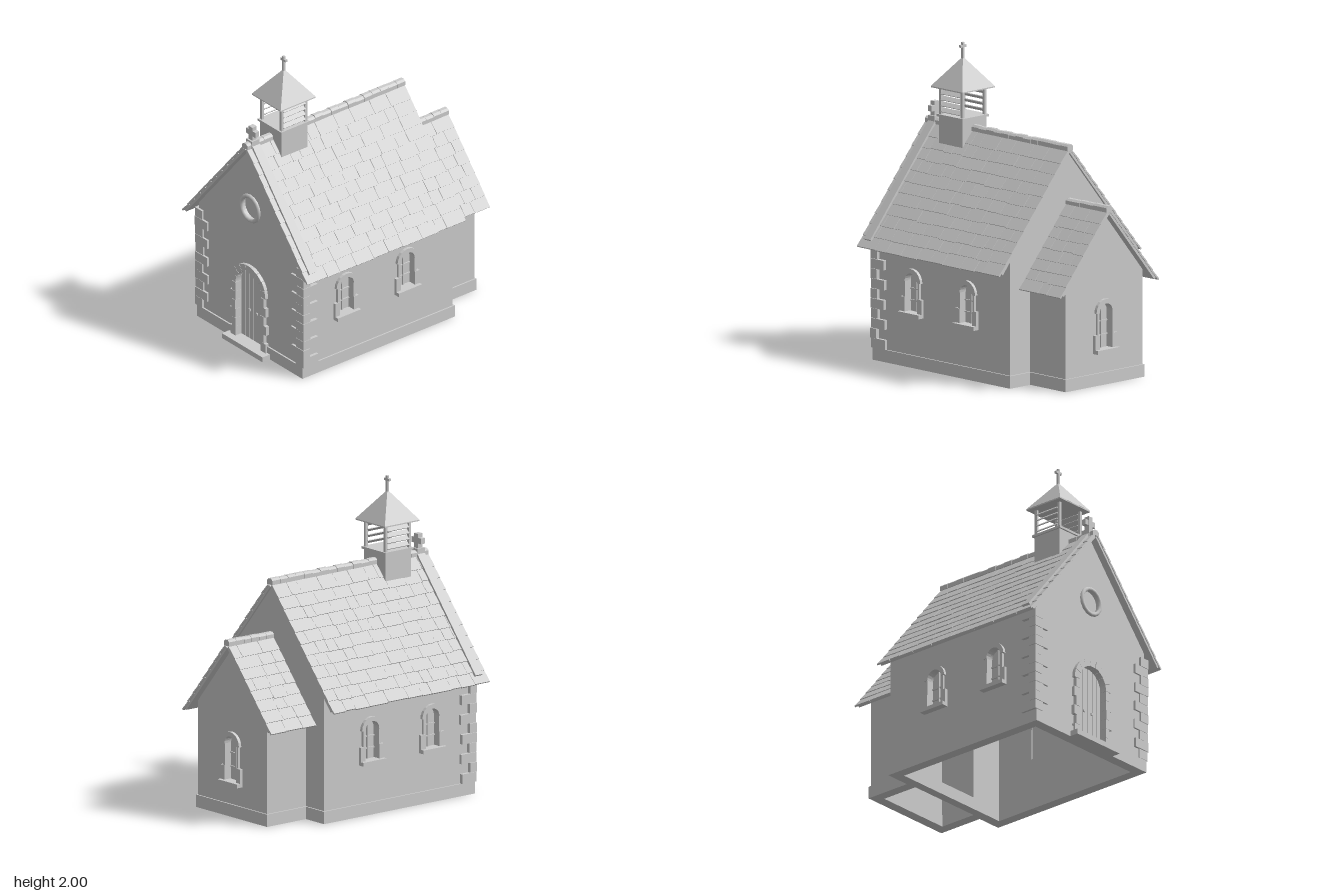
import * as THREE from 'three';
import { mergeGeometries } from 'three/addons/utils/BufferGeometryUtils.js';

const stone = new THREE.MeshStandardMaterial({ color: 0xcccccc });
stone.name = 'paleGrey';

let seed = 7;
const rnd = () => (seed = (seed * 16807) % 2147483647) / 2147483647;
const SLOPE = Math.atan(1.2), COS = Math.cos(SLOPE);

function add(parent, name, geo, x = 0, y = 0, z = 0) {
  const m = new THREE.Mesh(geo, stone);
  m.name = name;
  m.position.set(x, y, z);
  parent.add(m);
  return m;
}
// box given by its limits on each axis
function boxGeo(x0, x1, y0, y1, z0, z1) {
  return new THREE.BoxGeometry(x1 - x0, y1 - y0, z1 - z0)
    .translate((x0 + x1) / 2, (y0 + y1) / 2, (z0 + z1) / 2);
}
const box = (p, name, ...l) => add(p, name, boxGeo(...l));
const extrude = (shape, depth, curveSegments = 12) =>
  new THREE.ExtrudeGeometry(shape, { depth, bevelEnabled: false, curveSegments });
const poly = pts => new THREE.Shape(pts.map(p => new THREE.Vector2(...p)));
// upright opening with a round head
function arch(w, y0, yc, x = 0, T = THREE.Shape) {
  const s = new T();
  s.moveTo(x - w, y0); s.lineTo(x + w, y0); s.lineTo(x + w, yc);
  s.absarc(x, yc, w, 0, Math.PI, false);
  s.closePath();
  return s;
}
const gable = (w, apex) => poly([[-w, 0], [w, 0], [w, apex - 1.2 * w], [0, apex], [-w, apex - 1.2 * w]]);

// arched window facing +z, with its wall face at z = 0
function makeWindow(h) {
  const g = new THREE.Group();
  g.name = 'window';
  const top = h - 0.085;
  const head = new THREE.Shape();
  head.absarc(0, top, 0.085, 0, Math.PI, false);
  head.absarc(0, top, 0.056, Math.PI, 0, true);
  add(g, 'windowHead', extrude(head, 0.035, 5), 0, 0, -0.015);
  for (const s of [-1, 1]) {
    const side = (n, a, b, y0, y1, d) => box(g, n, Math.min(s * a, s * b), Math.max(s * a, s * b), y0, y1, -0.015, d);
    side('lowerJamb', 0.056, 0.095, 0.02, 0.115, 0.02);
    side('upperJamb', 0.056, 0.072, 0.115, top, 0.016);
  }
  box(g, 'sill', -0.095, 0.095, -0.003, 0.022, -0.03, 0.045);
  add(g, 'windowPane', extrude(arch(0.06, 0.02, top), 0.008, 5), 0, 0, -0.043);
  box(g, 'mullion', -0.005, 0.005, 0.02, h - 0.03, -0.036, -0.024);
  for (const k of [0.35, 0.7]) box(g, 'glazingBar', -0.056, 0.056, top * k + 0.01, top * k + 0.018, -0.036, -0.026);
  return g;
}

// pitched roof of lapped slates, with its ridge along z
function makeRoof(name, half, apex, z0, z1, rows) {
  const roof = new THREE.Group();
  roof.name = name;
  const len = half / COS - 0.015, h = len / rows;
  for (const s of [1, -1]) {
    const side = new THREE.Group(), slope = new THREE.Group();
    side.name = 'roofSide';
    side.rotation.y = s > 0 ? 0 : Math.PI;
    slope.position.y = apex;
    slope.rotation.z = -SLOPE;
    side.add(slope);
    roof.add(side);
    const za = Math.min(s * z0, s * z1), zb = Math.max(s * z0, s * z1);
    box(slope, 'roofDeck', 0, len - 0.01, 0, 0.016, za + 0.005, zb - 0.005);
    const tiles = [];
    for (let r = 0; r < rows; r++) {
      for (let z = za; z < zb - 0.001;) {
        let e = z + 0.07 + rnd() * 0.1;
        if (zb - e < 0.05) e = zb;
        const l = h * 1.12 + rnd() * 0.008;
        tiles.push(new THREE.BoxGeometry(l, 0.011, e - z - 0.002)
          .rotateZ(0.05 + rnd() * 0.02)
          .translate(r * h + l / 2, 0.021 + rnd() * 0.002, (z + e) / 2));
        z = e;
      }
    }
    add(slope, 'slates', mergeGeometries(tiles));
  }
  return roof;
}
function ridge(parent, apex, z0, z1) {
  const n = Math.round((z1 - z0) / 0.065), d = (z1 - z0) / n, parts = [];
  for (let i = 0; i < n; i++) {
    const t = apex + 0.05 + rnd() * 0.006, w = 0.025 + rnd() * 0.003;
    parts.push(extrude(poly([[-w, apex + 0.015], [w, apex + 0.015], [w, t - 0.012], [0.012, t], [-0.012, t], [-w, t - 0.012]]), d - 0.002)
      .translate(0, 0, z0 + i * d));
  }
  add(parent, 'ridgeTiles', mergeGeometries(parts));
}

export function createModel() {
  const model = new THREE.Group();
  model.name = 'chapel';

  // nave gables
  const front = gable(0.51, 1.43);
  const eye = new THREE.Path();
  eye.absarc(0, 1, 0.078, 0, Math.PI * 2, false);
  front.holes.push(arch(0.125, 0.03, 0.42, 0, THREE.Path), eye);
  add(model, 'frontWall', extrude(front, 0.05), 0, 0, 0.71);
  const rear = gable(0.51, 1.43);
  rear.holes.push(arch(0.22, 0.08, 0.4, 0, THREE.Path));
  add(model, 'naveRearWall', extrude(rear, 0.05), 0, 0, -0.46);

  // chancel end wall and its window
  const end = gable(0.335, 1.09);
  end.holes.push(arch(0.056, 0.225, 0.465, 0, THREE.Path));
  add(model, 'chancelEndWall', extrude(end, 0.05), 0, 0, -0.78);
  const endWindow = makeWindow(0.34);
  endWindow.position.set(0, 0.21, -0.78);
  endWindow.rotation.y = Math.PI;
  model.add(endWindow);

  // side walls, side windows, plinths and corner stones
  for (const s of [1, -1]) {
    const wall = poly([[-0.71, 0], [0.41, 0], [0.41, 0.815], [-0.71, 0.815]]);
    for (const z of [0.415, -0.08]) {
      wall.holes.push(arch(0.056, 0.35, 0.55, -z, THREE.Path));
      const w = makeWindow(0.302);
      w.position.set(s * 0.51, 0.333, z);
      w.rotation.y = s * Math.PI / 2;
      model.add(w);
    }
    const geo = extrude(wall, 0.05);
    if (s < 0) geo.rotateY(Math.PI).translate(0, 0, 0.05);
    const m = add(model, 'naveSideWall', geo, s * 0.46);
    m.rotation.y = Math.PI / 2;
    if (s < 0) { // same plan, turned to keep the front end forward
      m.geometry = extrude(poly([[-0.41, 0], [0.71, 0], [0.71, 0.815], [-0.41, 0.815]]), 0.05);
      m.geometry.dispose();
      const mirrored = poly([[-0.41, 0], [0.71, 0], [0.71, 0.815], [-0.41, 0.815]]);
      for (const z of [0.415, -0.08]) mirrored.holes.push(arch(0.056, 0.35, 0.55, z, THREE.Path));
      m.geometry = extrude(mirrored, 0.05);
      m.rotation.y = -Math.PI / 2;
    }
    const bx = (n, a, b, ...r) => box(model, n, Math.min(s * a, s * b), Math.max(s * a, s * b), ...r);
    bx('chancelSideWall', 0.285, 0.335, 0, 0.69, -0.73, -0.46);
    bx('navePlinth', 0.45, 0.52, 0, 0.08, -0.47, 0.77);
    bx('frontPlinth', 0.165, 0.45, 0, 0.08, 0.7, 0.77);
    bx('rearPlinth', 0.345, 0.45, 0, 0.08, -0.47, -0.4);
    bx('chancelPlinth', 0.275, 0.345, 0, 0.08, -0.79, -0.4);
    for (let i = 0; i < 11; i++) {
      const y = 0.08 + i * 0.0636, wide = i % 2, j = rnd() * 0.012;
      bx('cornerStone', (wide ? 0.405 : 0.455) + j, 0.53 + j * 0.5, y + 0.001, y + 0.0626,
        (wide ? 0.71 : 0.648) + j, 0.771 + j * 0.3);
    }
  }
  box(model, 'chancelEndPlinth', -0.275, 0.275, 0, 0.08, -0.79, -0.72);
  box(model, 'chancelThreshold', -0.275, 0.275, 0, 0.08, -0.46, -0.4);

  // door, planks, latch and step
  add(model, 'door', extrude(arch(0.127, 0.03, 0.42), 0.015), 0, 0, 0.712);
  const planks = [-0.124, -0.085, -0.045, 0, 0.045, 0.085, 0.124];
  const top = x => 0.42 + Math.sqrt(0.125 ** 2 - x * x);
  for (let i = 0; i < 6; i++) {
    const a = planks[i] + 0.002, b = planks[i + 1] - 0.002, c = (a + b) / 2;
    add(model, 'doorPlank', extrude(poly([[a, 0.035], [b, 0.035], [b, top(b)], [c, top(c)], [a, top(a)]]), 0.008), 0, 0, 0.727);
  }
  for (const x of [-0.035, 0.035]) box(model, 'doorLatch', x - 0.006, x + 0.006, 0.235, 0.25, 0.735, 0.745);
  box(model, 'doorSill', -0.165, 0.165, 0, 0.035, 0.7, 0.77);
  box(model, 'doorStep', -0.2, 0.2, 0, 0.035, 0.76, 0.83);

  // door surround
  for (const s of [-1, 1]) for (let i = 0; i < 6; i++) {
    const w = (i % 2 ? 0.152 : 0.172) + rnd() * 0.006, y = 0.035 + i * 0.064;
    box(model, 'doorJambStone', s > 0 ? 0.123 : -w, s > 0 ? w : -0.123, y, y + 0.063, 0.74, 0.782 + rnd() * 0.004);
  }
  for (let i = 0; i < 9; i++) {
    const a = i * Math.PI / 9 + 0.006, b = (i + 1) * Math.PI / 9 - 0.006, v = new THREE.Shape();
    v.absarc(0, 0.42, 0.168 + rnd() * 0.005, a, b, false);
    v.absarc(0, 0.42, 0.123, b, a, true);
    add(model, 'doorArchStone', extrude(v, 0.042 + rnd() * 0.004, 3), 0, 0, 0.74);
  }

  // round gable window
  add(model, 'roundWindowPane', new THREE.CylinderGeometry(0.082, 0.082, 0.01, 16).rotateX(Math.PI / 2), 0, 1, 0.735);
  add(model, 'roundWindowFrame', new THREE.TorusGeometry(0.085, 0.014, 8, 16), 0, 1, 0.765);

  // roofs and ridges
  model.add(makeRoof('naveRoof', 0.6, 1.435, -0.475, 0.81, 11));
  model.add(makeRoof('chancelRoof', 0.41, 1.095, -0.83, -0.44, 8));
  ridge(model, 1.435, -0.475, 0.39);
  ridge(model, 1.43, 0.6, 0.81);
  ridge(model, 1.095, -0.83, -0.46);

  // raised coping and cross over the front gable
  for (const s of [1, -1]) {
    const coping = add(model, 'gableCoping', boxGeo(0, 0.88, 0.015, 0.042, -0.03, 0.03), 0, 1.435, 0.742);
    coping.rotation.z = -SLOPE;
    if (s < 0) {
      coping.geometry = boxGeo(-0.88, 0, 0.015, 0.042, -0.03, 0.03);
      coping.rotation.z = SLOPE;
    }
  }
  box(model, 'gableCrossFoot', -0.03, 0.03, 1.44, 1.495, 0.715, 0.775);
  box(model, 'gableCrossPost', -0.018, 0.018, 1.48, 1.588, 0.727, 0.763);
  box(model, 'gableCrossArm', -0.045, 0.045, 1.525, 1.562, 0.729, 0.761);

  // bell turret
  const turret = new THREE.Group();
  turret.name = 'bellTurret';
  turret.position.z = 0.492;
  model.add(turret);
  box(turret, 'turretBase', -0.105, 0.105, 1.33, 1.527, -0.105, 0.105);
  box(turret, 'turretLedge', -0.116, 0.116, 1.525, 1.54, -0.116, 0.116);
  for (const x of [-0.096, 0.096]) {
    for (const z of [-0.096, 0.096]) box(turret, 'turretPost', x - 0.009, x + 0.009, 1.54, 1.715, z - 0.009, z + 0.009);
    for (let i = 0; i < 4; i++) {
      const slat = add(turret, 'louvre', new THREE.BoxGeometry(0.034, 0.006, 0.178), x, 1.567 + i * 0.038, 0);
      slat.rotation.z = x > 0 ? -0.7 : 0.7;
    }
  }
  box(turret, 'turretEave', -0.142, 0.142, 1.71, 1.718, -0.142, 0.142);
  const spire = new THREE.ConeGeometry(0.143 * Math.SQRT2, 0.19, 4).rotateY(Math.PI / 4).toNonIndexed();
  spire.computeVertexNormals();
  add(turret, 'turretRoof', spire, 0, 1.813, 0);
  box(turret, 'turretCrossPost', -0.008, 0.008, 1.89, 2, -0.008, 0.008);
  box(turret, 'turretCrossArm', -0.025, 0.025, 1.967, 1.983, -0.008, 0.008);
  return model;
}
